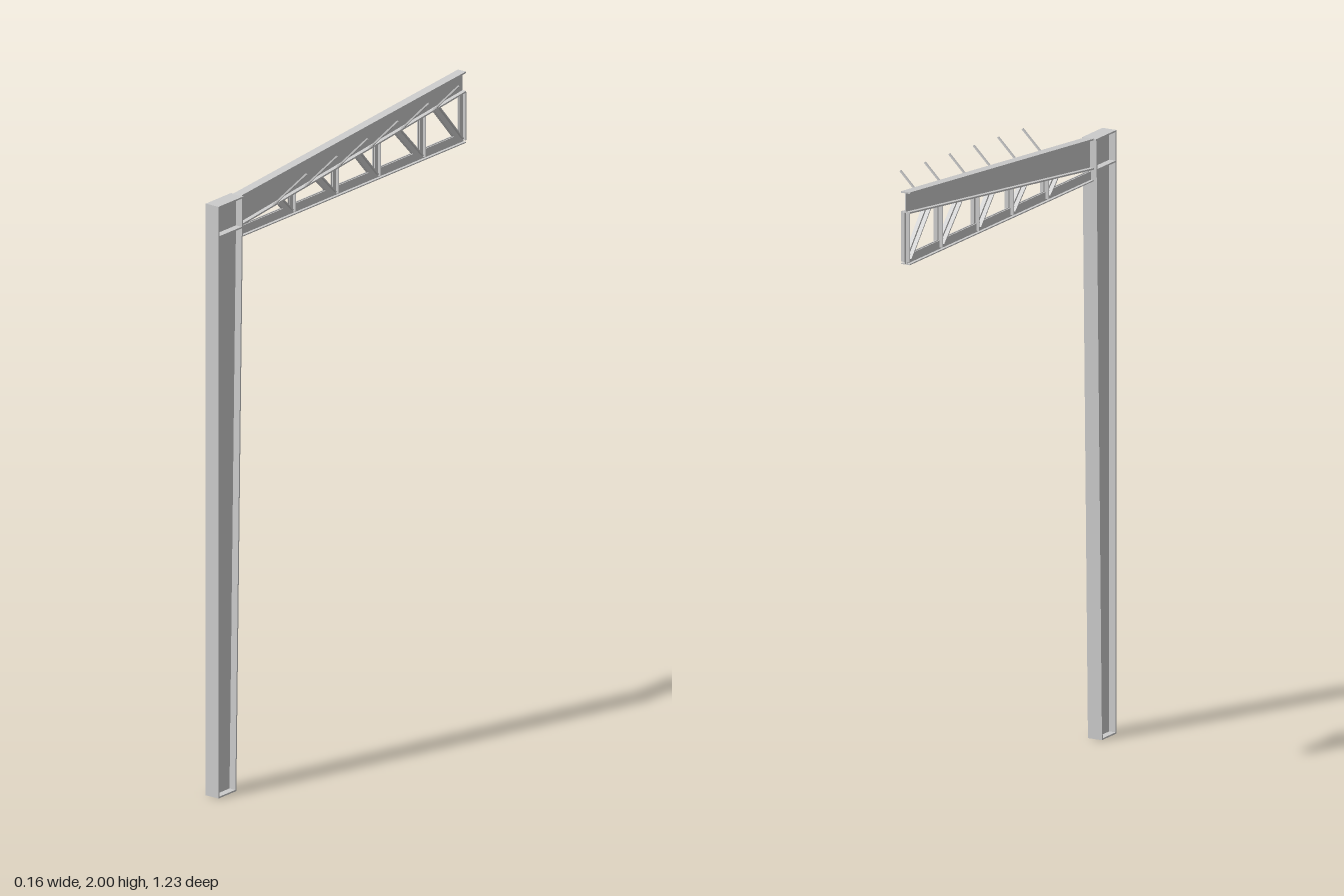
import * as THREE from 'three';

const CX = -0.057; // centre plane of the frame
const T = 0.005;   // steel plate thickness
const steel = new THREE.MeshStandardMaterial({ color: 0xcccccc, flatShading: true });

// Plate drawn in the (z, y) plane and extruded along x between x0 and x1 (relative to the centre plane)
function plate(name, points, x0, x1) {
  const shape = new THREE.Shape(points.map(([z, y]) => new THREE.Vector2(z, y)));
  const geo = new THREE.ExtrudeGeometry(shape, { depth: x1 - x0, bevelEnabled: false });
  geo.rotateY(-Math.PI / 2).translate(CX + x1, 0, 0);
  const mesh = new THREE.Mesh(geo, steel);
  mesh.name = name;
  return mesh;
}

// Straight strip from a to b, covering the sideways offsets o0..o1
function strip(name, a, b, o0, o1, x0, x1) {
  const dz = b[0] - a[0], dy = b[1] - a[1], len = Math.hypot(dz, dy);
  const at = (p, o) => [p[0] - dy / len * o, p[1] + dz / len * o];
  return plate(name, [at(a, o0), at(b, o0), at(b, o1), at(a, o1)], x0, x1);
}

// L-section member: one leg in the frame plane, one leg across it
function angle(name, a, b, size, side = 1) {
  const g = new THREE.Group();
  g.name = name;
  const range = (p, q) => (side > 0 ? [p, q] : [-q, -p]);
  g.add(strip('planeLeg', a, b, 0, size, ...range(0.002, 0.002 + T * 0.7)));
  g.add(strip('crossLeg', a, b, 0, T * 0.7, ...range(0.002, 0.015)));
  return g;
}

export function createModel() {
  const model = new THREE.Group();
  model.name = 'portalFrameBay';

  // Tapered I-section column
  const column = new THREE.Group();
  column.name = 'column';
  const F = 0.618, TOP = 1.89, HW = 0.0245, KNEE = 1.795;
  column.add(
    plate('outerFlange', [[F - T, 0], [F, 0], [F, TOP], [F - T, TOP]], -HW, HW),
    plate('innerFlange', [[0.53, 0], [0.53 + T, 0], [0.498 + T, KNEE], [0.498 + T, TOP], [0.498, TOP], [0.498, KNEE]], -HW, HW),
    plate('web', [[0.532, 0], [F - T, 0], [F - T, TOP], [0.5, TOP], [0.5, KNEE]], -0.002, 0.002));
  for (const [name, y, z] of [['basePlate', 0, 0.53], ['kneeStiffener', KNEE - T, 0.5], ['capPlate', TOP - T, 0.493]])
    column.add(plate(name, [[z, y], [F, y], [F, y + T], [z, y + T]], -HW, HW));
  model.add(column);

  // Tapered I-section rafter
  const rafter = new THREE.Group();
  rafter.name = 'rafter';
  const Z0 = 0.498, Z1 = -0.615, RW = 0.0155;
  const along = (z, y0, y1) => y0 + (y1 - y0) * (Z0 - z) / (Z0 - Z1);
  const under = z => along(z, 1.793, 1.918);
  const over = z => along(z, 1.89, 1.985);
  rafter.add(
    plate('topFlange', [[Z0, over(Z0) - T], [Z1, over(Z1) - T], [Z1, over(Z1)], [Z0, over(Z0)]], -RW, RW),
    plate('bottomFlange', [[Z0, under(Z0)], [Z1, under(Z1)], [Z1, under(Z1) + T], [Z0, under(Z0) + T]], -RW, RW),
    plate('web', [[Z0, under(Z0)], [Z1, under(Z1)], [Z1, over(Z1)], [Z0, over(Z0)]], -0.002, 0.002));
  model.add(rafter);

  // Truss below the rafter: paired angle chord, posts and diagonals
  const truss = new THREE.Group();
  truss.name = 'truss';
  for (const s of [-1, 1]) truss.add(angle('bottomChord', [Z1, 1.757], [Z0, 1.757], 0.03, s));
  const panels = [[0.236, 0.285], [0.024, 0.095], [-0.183, -0.1], [-0.405, -0.295], [-0.603, -0.485]];
  for (const [foot, head] of panels) {
    for (const s of [-1, 1]) {
      truss.add(angle('post', [foot - 0.01, 1.765], [foot - 0.01, under(foot) + 0.002], -0.014, s));
      truss.add(angle('diagonal', [foot, 1.772], [head, under(head) + 0.002], -0.016, s));
    }
  }
  model.add(truss);

  // Slanted fly braces rising from the rafter's bottom flange
  for (let i = 0; i < 6; i++) {
    const z = 0.33 - 0.158 * i;
    const start = new THREE.Vector3(CX + 0.012, under(z) + 0.004, z);
    const end = new THREE.Vector3(0.08 - 0.006 * i, 1.94 + 0.012 * i, z);
    const geo = new THREE.BoxGeometry(0.005, start.distanceTo(end), 0.006);
    const brace = new THREE.Mesh(geo, steel);
    brace.name = 'flyBrace';
    brace.position.copy(start).lerp(end, 0.5);
    brace.quaternion.setFromUnitVectors(new THREE.Vector3(0, 1, 0), end.clone().sub(start).normalize());
    model.add(brace);
  }
  return model;
}
